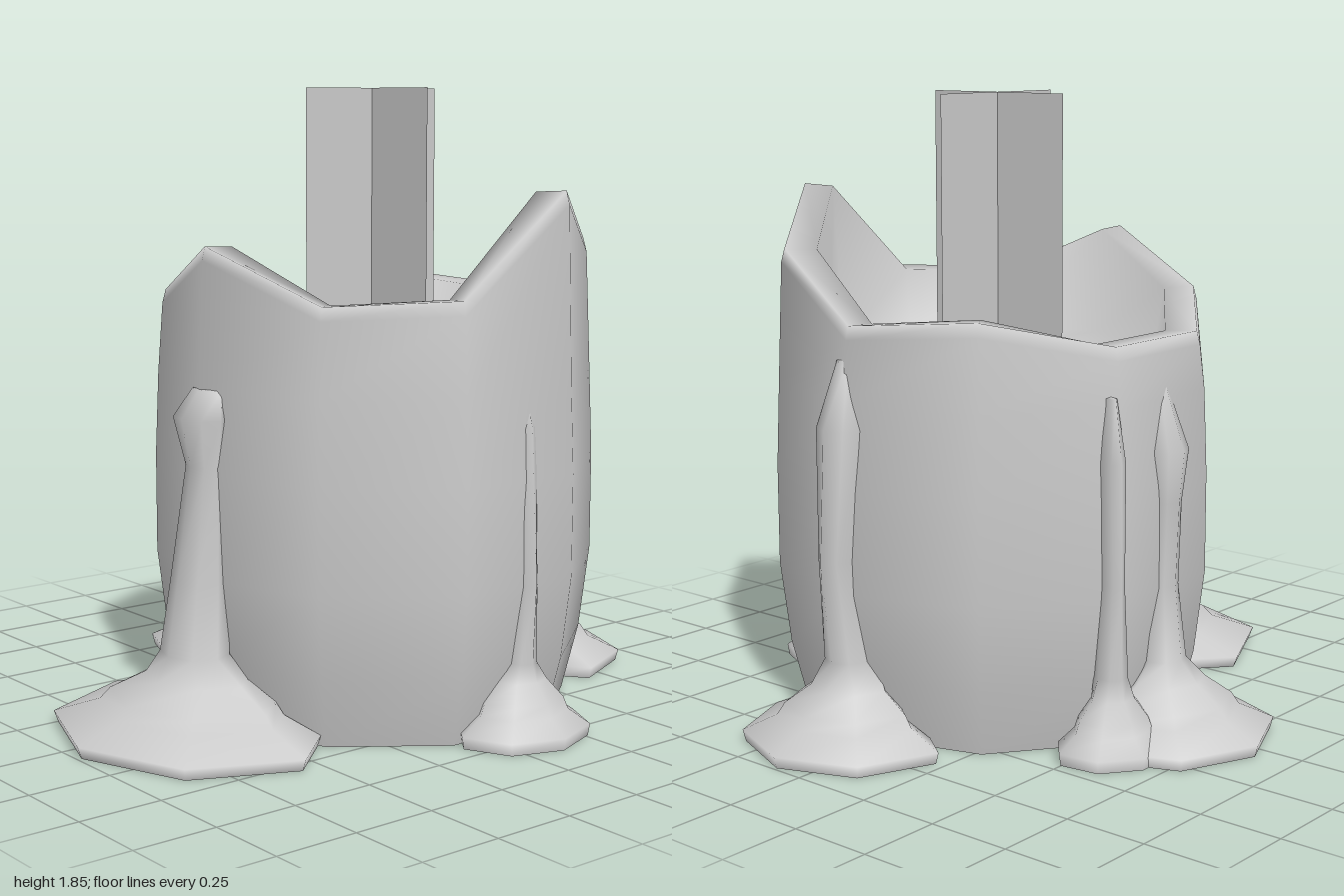
import * as THREE from 'three';

const material = new THREE.MeshStandardMaterial({ color: 0xcccccc, side: THREE.DoubleSide });

// Skin a stack of rings; each ring is a function of angle t (from +z towards +x) and index
function skin(name, rings, sides) {
  const pos = [], index = [];
  rings.forEach((ring) => {
    for (let j = 0; j < sides; j++) pos.push(...ring((j / sides) * Math.PI * 2, j));
  });
  for (let i = 0; i < rings.length - 1; i++) {
    for (let j = 0; j < sides; j++) {
      const k = (j + 1) % sides;
      const a = i * sides + j, b = i * sides + k;
      index.push(a, b, b + sides, a, b + sides, a + sides);
    }
  }
  const geo = new THREE.BufferGeometry();
  geo.setAttribute('position', new THREE.Float32BufferAttribute(pos, 3));
  geo.setIndex(index);
  geo.computeVertexNormals();
  const mesh = new THREE.Mesh(geo, material);
  mesh.name = name;
  return mesh;
}

// Ten-sided wax body: bulging wall, uneven melted rim, hollow top
function waxBody() {
  const rim = [1.405, 1.255, 1.27, 1.56, 1.4, 1.22, 1.25, 1.17, 1.17, 1.25];
  const ring = (r, height) => (t, j) => [r * 1.03 * Math.sin(t), height(j), r * Math.cos(t)];
  const wall = [[0, 0.58], [0.2, 0.63], [0.45, 0.66], [0.75, 0.66], [1.0, 0.65]];
  const rings = wall.map(([y, r]) => ring(r, () => y));
  rings.push(
    ring(0.635, (j) => rim[j] - 0.04),
    ring(0.625, (j) => rim[j]),
    ring(0.53, (j) => rim[j] - 0.005),
    ring(0.5, () => 1.07),
    ring(0.3, () => 1.04),
    ring(0.001, () => 1.03),
  );
  const body = skin('waxBody', rings, 10);
  body.position.set(0.08, 0, -0.075);
  return body;
}

// Wax drip: stepped puddle narrowing into a stem that runs up the wall; local +z points outward
function drip(name, { x, z, turn, width, out, inner, stem }) {
  const puddle = [[0, 0.97], [0.035, 1], [0.08, 0.69], [0.115, 0.62], [0.17, 0.38]];
  const rows = puddle.map(([y, s]) => [y, width * s, out * s, inner * s]);
  // stem rows: height, half width, outward reach
  stem.forEach(([y, w, o]) => rows.push([y, w, o, 0.06]));
  const [yTop, , oTop] = stem[stem.length - 1];
  rows.push([yTop + 0.005, 0.001, oTop - 0.03, 0.03]);
  const rings = rows.map(([y, w, o, b]) => (t) => {
    const mid = (o - b) / 2, half = (o + b) / 2;
    // puddles keep their centre on the wall line, stems are plain ovals
    const c = Math.cos(t);
    const depth = y < 0.2 ? c * (c > 0 ? o : b) : mid + half * c;
    return [w * Math.sin(t), y, depth];
  });
  const mesh = skin(name, rings, 8);
  mesh.position.set(x, 0, z);
  mesh.rotation.y = turn;
  return mesh;
}

// Two crossed upright cards
function flame() {
  const group = new THREE.Group();
  group.name = 'flame';
  for (let i = 0; i < 2; i++) {
    const card = new THREE.Mesh(new THREE.PlaneGeometry(0.5, 0.81), material);
    card.name = 'flameCard';
    card.rotation.y = (i * Math.PI) / 2;
    group.add(card);
  }
  group.position.set(0.07, 1.445, -0.07);
  return group;
}

export function createModel() {
  const model = new THREE.Group();
  model.name = 'candle';
  model.add(waxBody(), flame());

  model.add(drip('frontDrip', {
    x: 0.085, z: 0.57, turn: 0, width: 0.48, out: 0.43, inner: 0.23,
    stem: [[0.24, 0.115, 0.125], [0.45, 0.095, 0.09], [0.78, 0.065, 0.04], [0.92, 0.1, 0.07], [1.0, 0.065, 0.01]],
  }));
  model.add(drip('backDrip', {
    x: 0.1, z: -0.68, turn: Math.PI, width: 0.33, out: 0.32, inner: 0.1,
    stem: [[0.25, 0.07, 0.09], [0.55, 0.05, 0.125], [0.93, 0.075, 0.105], [1.12, 0.03, 0.04]],
  }));
  model.add(drip('rightDrip', {
    x: -0.55, z: -0.06, turn: -Math.PI / 2, width: 0.33, out: 0.34, inner: 0.14,
    stem: [[0.23, 0.07, 0.07], [0.45, 0.05, 0.045], [0.7, 0.05, 0.055], [0.85, 0.07, 0.07], [1.04, 0.025, 0]],
  }));
  model.add(drip('rightRearDrip', {
    x: -0.55, z: -0.3, turn: -Math.PI / 2 - 0.3, width: 0.18, out: 0.16, inner: 0.12,
    stem: [[0.23, 0.045, 0.05], [0.5, 0.03, 0.045], [0.85, 0.035, 0.04], [1.03, 0.015, 0.01]],
  }));
  model.add(drip('leftDrip', {
    x: 0.69, z: -0.11, turn: Math.PI / 2, width: 0.22, out: 0.19, inner: 0.12,
    stem: [[0.22, 0.045, 0.055], [0.45, 0.03, 0.065], [0.9, 0.04, 0.04], [1.02, 0.015, 0.01]],
  }));
  return model;
}
